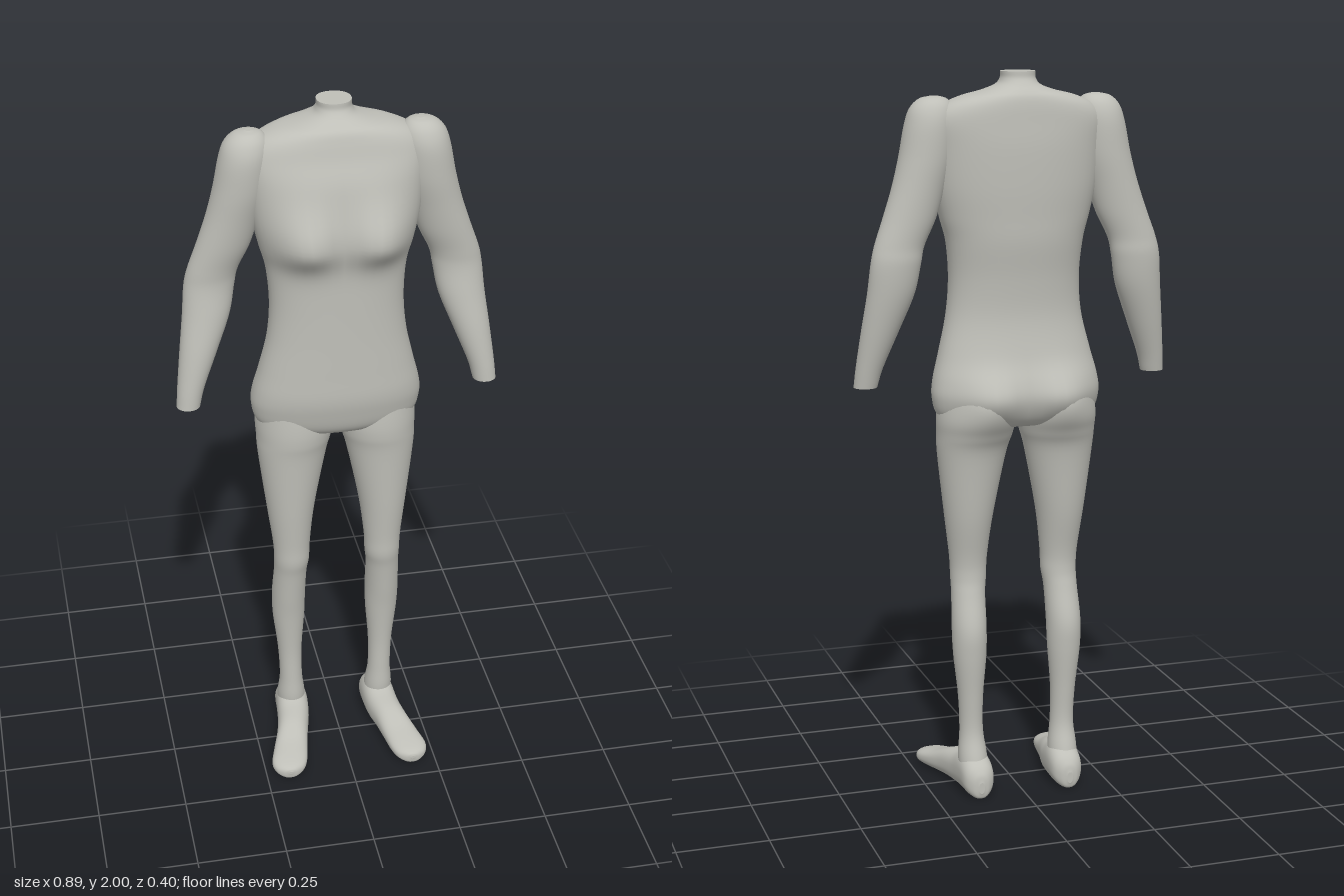
import * as THREE from 'three';

const SIDES = 48, STEPS = 6;

// Smooth capped skin through rings [cx, y, cz, rx, rz], listed from top to bottom
function loft(rings, power = 2, sculpt = null) {
  const mid = new THREE.CatmullRomCurve3(rings.map(r => new THREE.Vector3(r[0], r[1], r[2])), false, 'catmullrom');
  const rad = new THREE.CatmullRomCurve3(rings.map(r => new THREE.Vector3(r[3], r[4], 0)), false, 'catmullrom');
  const rows = (rings.length - 1) * STEPS, pos = [], index = [];
  const bend = v => Math.sign(v) * Math.abs(v) ** (2 / power);
  const addRow = t => {
    const c = mid.getPoint(t), r = rad.getPoint(t);
    for (let j = 0; j < SIDES; j++) {
      const a = j / SIDES * Math.PI * 2;
      const p = new THREE.Vector3(c.x + r.x * bend(Math.cos(a)), c.y, c.z + r.y * bend(Math.sin(a)));
      if (sculpt) sculpt(p);
      pos.push(p.x, p.y, p.z);
    }
    return c;
  };
  for (let i = 0; i <= rows; i++) addRow(i / rows);
  for (let i = 0; i < rows; i++) {
    for (let j = 0; j < SIDES; j++) {
      const a = i * SIDES + j, b = i * SIDES + (j + 1) % SIDES;
      index.push(a, b, a + SIDES, b, b + SIDES, a + SIDES);
    }
  }
  // End caps with their own vertices so the rims stay crisp
  for (const t of [0, 1]) {
    const start = pos.length / 3, c = addRow(t), hub = start + SIDES;
    pos.push(c.x, c.y, c.z);
    for (let j = 0; j < SIDES; j++) {
      const a = start + j, b = start + (j + 1) % SIDES;
      if (t === 0) index.push(hub, b, a);
      else index.push(hub, a, b);
    }
  }
  const g = new THREE.BufferGeometry();
  g.setAttribute('position', new THREE.Float32BufferAttribute(pos, 3));
  g.setIndex(index);
  g.computeVertexNormals();
  return g;
}

// Paired swellings on the chest front and the seat
const hill = (v, centre, width) => Math.exp(-(((v - centre) / width) ** 2));
function sculptBody(p) {
  const x = Math.abs(p.x);
  const front = THREE.MathUtils.smoothstep(p.z, -0.05, 0.04);
  const back = 1 - THREE.MathUtils.smoothstep(p.z, -0.16, -0.06);
  const bust = 0.05 * hill(x, 0.1, 0.08) * hill(p.y, 1.645, p.y > 1.645 ? 0.1 : 0.06);
  const seat = 0.035 * hill(x, 0.1, 0.08) * hill(p.y, 1.13, 0.07);
  p.z += front * bust - back * seat;
}

const TORSO = [
  [0, 2.0, -0.075, 0.046, 0.046],
  [0, 1.982, -0.075, 0.047, 0.048],
  [0, 1.965, -0.074, 0.06, 0.06],
  [0, 1.95, -0.072, 0.1, 0.075],
  [0, 1.935, -0.07, 0.16, 0.086],
  [0, 1.91, -0.068, 0.212, 0.093],
  [0, 1.87, -0.064, 0.238, 0.1],
  [0, 1.8, -0.055, 0.235, 0.113],
  [0, 1.7, -0.05, 0.225, 0.117],
  [0, 1.62, -0.048, 0.208, 0.115],
  [0, 1.55, -0.048, 0.19, 0.111],
  [0, 1.45, -0.042, 0.182, 0.104],
  [0, 1.35, -0.04, 0.19, 0.102],
  [0, 1.25, -0.047, 0.213, 0.11],
  [0, 1.18, -0.055, 0.231, 0.118],
  [0, 1.13, -0.06, 0.235, 0.115],
  [0, 1.08, -0.06, 0.218, 0.1],
  [0, 1.055, -0.06, 0.16, 0.075],
  [0, 1.045, -0.06, 0.05, 0.03],
];

const ARM = [
  [0.225, 1.938, -0.058, 0.01, 0.01],
  [0.228, 1.93, -0.058, 0.038, 0.035],
  [0.232, 1.905, -0.058, 0.059, 0.055],
  [0.238, 1.86, -0.058, 0.068, 0.066],
  [0.25, 1.78, -0.06, 0.072, 0.066],
  [0.272, 1.7, -0.064, 0.071, 0.06],
  [0.298, 1.62, -0.068, 0.072, 0.054],
  [0.327, 1.55, -0.073, 0.068, 0.048],
  [0.338, 1.5, -0.075, 0.068, 0.048],
  [0.35, 1.42, -0.065, 0.064, 0.049],
  [0.376, 1.32, -0.047, 0.051, 0.045],
  [0.402, 1.22, -0.03, 0.037, 0.036],
  [0.412, 1.165, -0.022, 0.032, 0.031],
];

const LEG = [
  [0.115, 1.16, -0.06, 0.1, 0.09],
  [0.115, 1.08, -0.065, 0.109, 0.103],
  [0.118, 1.03, -0.06, 0.105, 0.098],
  [0.125, 0.97, -0.054, 0.095, 0.085],
  [0.132, 0.8, -0.047, 0.068, 0.068],
  [0.132, 0.68, -0.04, 0.053, 0.052],
  [0.132, 0.62, -0.04, 0.05, 0.05],
  [0.135, 0.57, -0.05, 0.047, 0.05],
  [0.138, 0.48, -0.068, 0.048, 0.055],
  [0.138, 0.4, -0.073, 0.046, 0.049],
  [0.136, 0.28, -0.072, 0.035, 0.038],
  [0.134, 0.18, -0.07, 0.033, 0.036],
  [0.133, 0.11, -0.078, 0.04, 0.046],
  [0.132, 0.05, -0.09, 0.04, 0.05],
];

// Foot sections from heel to toe: [z, centre x, half width, top height]
const FOOT = [
  [-0.16, 0.13, 0.008, 0.05],
  [-0.153, 0.13, 0.026, 0.075],
  [-0.13, 0.13, 0.043, 0.1],
  [-0.08, 0.131, 0.047, 0.12],
  [-0.02, 0.137, 0.047, 0.1],
  [0.04, 0.15, 0.046, 0.087],
  [0.1, 0.166, 0.05, 0.064],
  [0.15, 0.178, 0.052, 0.051],
  [0.18, 0.181, 0.042, 0.042],
  [0.195, 0.182, 0.022, 0.034],
  [0.199, 0.182, 0.006, 0.026],
];

export function createModel() {
  const model = new THREE.Group();
  model.name = 'mannequin';
  const skin = new THREE.MeshStandardMaterial({ color: 0xbfbfb8 });
  skin.name = 'stone grey';

  const add = (name, geometry) => {
    const mesh = new THREE.Mesh(geometry, skin);
    mesh.name = name;
    model.add(mesh);
  };

  add('torso', loft(TORSO, 2.2, sculptBody));

  for (const [side, s] of [['left', 1], ['right', -1]]) {
    const mirror = rings => rings.map(([x, ...rest]) => [x * s, ...rest]);
    add(side + 'Arm', loft(mirror(ARM)));
    add(side + 'Leg', loft(mirror(LEG), 2, sculptBody));

    // Foot is lofted upright, then laid forward with a flat sole
    const soles = FOOT.map(([z, x, w, top]) => {
      const low = w < 0.01 ? 0.018 : 0.002;
      return [x * s, -z, (top + low) / 2, w, (top - low) / 2];
    });
    const foot = loft(soles, 2.4);
    foot.rotateX(-Math.PI / 2);
    const p = foot.attributes.position;
    for (let i = 0; i < p.count; i++) p.setY(i, Math.max(0, p.getY(i)));
    add(side + 'Foot', foot);
  }
  return model;
}
